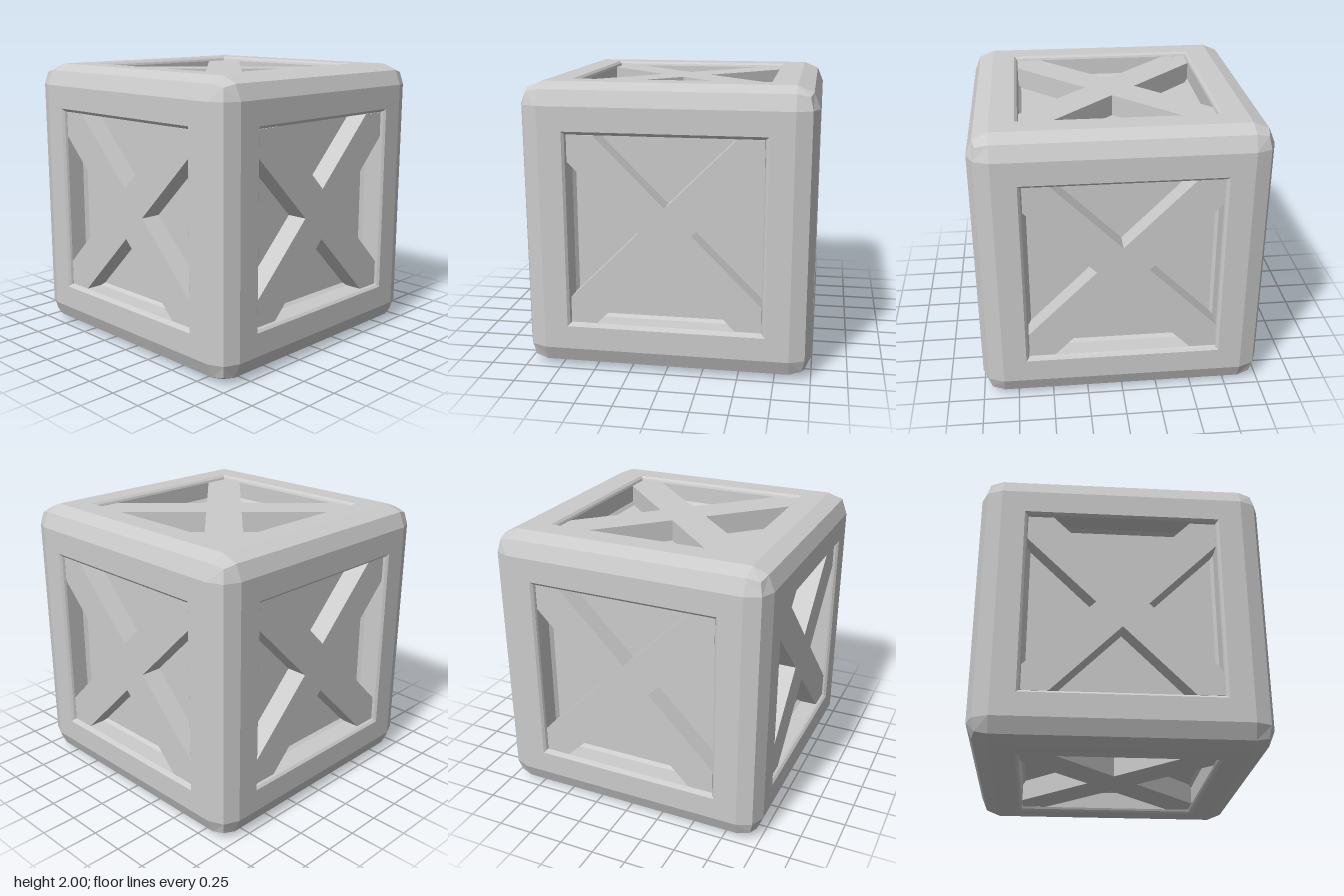
import * as THREE from 'three';

const FLAT = 0.85;   // half-width of the flat part of a side
const ROUND = 0.15;  // radius of the two-step edge rounding

const flat = (g) => {
  const out = g.index ? g.toNonIndexed() : g;
  out.computeVertexNormals();
  return out;
};

// Rounded border of the top side: a 4 x 4 grid without its centre cell
function borderGeometry() {
  const sign = [-1, -1, 1, 1], outer = [1, 0, 0, 1];
  const point = (i, j) => {
    const n = new THREE.Vector3(sign[i] * outer[i], 1, sign[j] * outer[j]).normalize();
    return new THREE.Vector3(sign[i], 1, sign[j]).multiplyScalar(FLAT).addScaledVector(n, ROUND);
  };
  const pts = [];
  for (let i = 0; i < 3; i++) {
    for (let j = 0; j < 3; j++) {
      if (i === 1 && j === 1) continue;
      const a = point(i, j), b = point(i, j + 1), c = point(i + 1, j + 1), d = point(i + 1, j);
      pts.push(a, b, c, a, c, d);
    }
  }
  return flat(new THREE.BufferGeometry().setFromPoints(pts));
}

// Square section swept around the side: [half-width, height] pairs
function squareLathe(profile) {
  const pts = profile.map(([w, y]) => new THREE.Vector2(w * Math.SQRT2, y));
  return flat(new THREE.LatheGeometry(pts, 4, Math.PI / 4));
}

// Diagonal cross with its four ends cut square to the opening
function crossGeometry() {
  const end = 0.66, notch = 0.18, s = new THREE.Shape();
  const quarter = [[notch, 0], [end, end - notch], [end, end], [end - notch, end]];
  const pts = [];
  for (let k = 0; k < 4; k++) {
    for (const [x, y] of quarter) {
      pts.push(new THREE.Vector2(x, y).rotateAround(new THREE.Vector2(), k * Math.PI / 2));
    }
  }
  s.setFromPoints(pts);
  const g = new THREE.ExtrudeGeometry(s, { depth: 0.17, bevelEnabled: false });
  g.rotateX(-Math.PI / 2).translate(0, 0.8, 0);
  return flat(g);
}

export function createModel() {
  const crate = new THREE.Group();
  crate.name = 'crate';
  const material = new THREE.MeshStandardMaterial({ color: 0xcccccc, flatShading: true });

  const parts = {
    roundedBorder: borderGeometry(),
    frame: squareLathe([[FLAT, 1], [0.685, 1], [0.668, 0.985], [0.662, 0.97], [0.66, 0.845], [0.64, 0.82]]),
    recessedPanel: flat(new THREE.PlaneGeometry(1.28, 1.28).rotateX(-Math.PI / 2).translate(0, 0.82, 0)),
    crossBrace: crossGeometry(),
  };

  // The same side turned to all six directions
  const h = Math.PI / 2;
  const sides = {
    top: [0, 0, 0], bottom: [Math.PI, 0, 0],
    front: [h, 0, 0], back: [-h, 0, 0],
    left: [0, 0, -h], right: [0, 0, h],
  };
  for (const [name, turn] of Object.entries(sides)) {
    const side = new THREE.Group();
    side.name = name + 'Side';
    side.rotation.set(...turn);
    side.position.y = 1;
    for (const [part, geometry] of Object.entries(parts)) {
      const mesh = new THREE.Mesh(geometry, material);
      mesh.name = part;
      side.add(mesh);
    }
    crate.add(side);
  }
  return crate;
}
